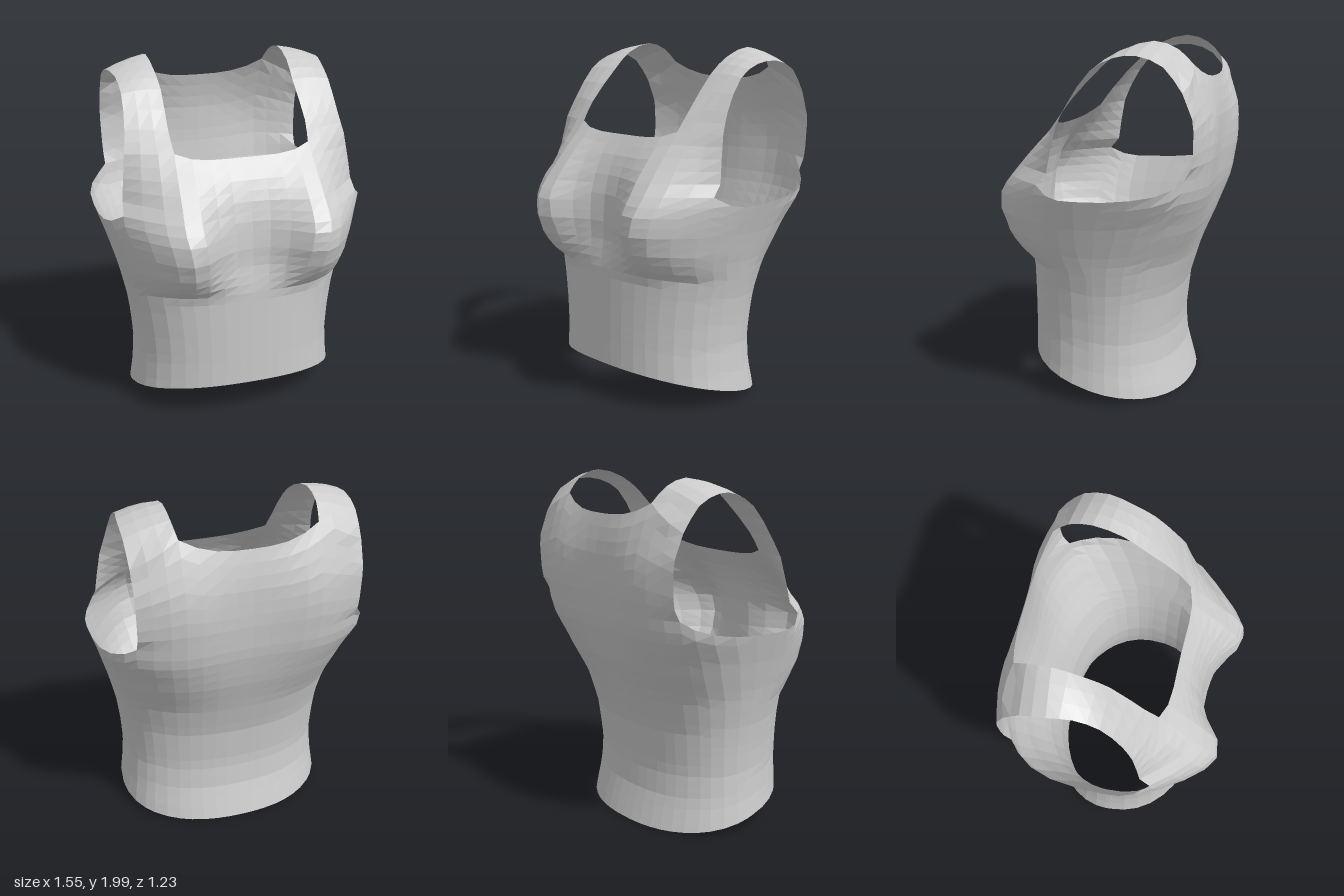
import * as THREE from 'three';

const material = new THREE.MeshStandardMaterial({ color: 0xcccccc, flatShading: true, side: THREE.DoubleSide });
const lerp = THREE.MathUtils.lerp;

// Linear lookup in a short list of [height, value] pairs
function at(table, y) {
  if (y <= table[0][0]) return table[0][1];
  for (let i = 1; i < table.length; i++) {
    const [y0, v0] = table[i - 1], [y1, v1] = table[i];
    if (y <= y1) return lerp(v0, v1, (y - y0) / (y1 - y0));
  }
  return table[table.length - 1][1];
}

// Body measurements by height
const halfWidth = [[0, .625], [.06, .62], [.2, .6], [.35, .59], [.5, .6], [.65, .62], [.85, .665], [1.02, .715], [1.2, .775]];
const frontZ = [[0, .48], [.8, .475], [.95, .45], [1.05, .45], [1.2, .435], [1.3, .41], [1.4, .37], [1.52, .29], [1.6, .25]];
const backZ = [[0, -.44], [.1, -.41], [.2, -.38], [.36, -.365], [.6, -.39], [.8, -.45], [1, -.52], [1.2, -.57],
  [1.4, -.59], [1.6, -.59], [1.7, -.575], [1.8, -.55], [1.9, -.49]];
const backPower = [[0, 2.2], [.8, 2.4], [1.05, 3], [1.2, 3.8], [1.3, 4]];
const bustDepth = [[.77, 0], [.83, .08], [.92, .165], [1.05, .21], [1.15, .205], [1.25, .15], [1.4, .07], [1.53, .02], [1.6, 0]];
const bladeDepth = [[.8, 0], [1.1, .02], [1.5, .035], [1.8, 0]];

// Armhole edges of the upper panels by height
const frontEdgeX = [[1.25, .68], [1.4, .665], [1.56, .645]];
const frontEdgeZ = [[1.25, .235], [1.45, .2], [1.56, .175]];
const backEdgeX = [[1.3, .62], [1.75, .635]];
const backEdgeZ = [[1.3, -.53], [1.4, -.555], [1.6, -.56], [1.75, -.5]];

const hump = (x, mid, inner, outer) => Math.exp(-(((x - mid) / (x < mid ? inner : outer)) ** 2));
const bust = (x, y) => at(bustDepth, y) * hump(x, .38, .18, .26);
const blade = (x, y) => at(bladeDepth, y) * hump(x, .36, .2, .2);

const MID = .02, FRONT_S = .88, BACK_S = .8;

// Point on the torso: s is the share of the half width
function torso(front, s, y) {
  const x = at(halfWidth, y) * s;
  const n = front ? 2.3 : at(backPower, y);
  const q = Math.pow(Math.max(0, 1 - s ** n), 1 / n);
  const z = front ? MID + (at(frontZ, y) - MID) * q + bust(x, y)
    : MID + (at(backZ, y) - MID) * q - blade(x, y);
  return new THREE.Vector3(x, y, z);
}

// Points on the upper panels: f runs from the centre line to the armhole
function chest(f, y) {
  const x = f * at(frontEdgeX, y), edge = at(frontEdgeZ, y);
  const z = lerp(edge, at(frontZ, y), 1 - f ** 3) + bust(x, y) * (1 - f ** 6);
  return new THREE.Vector3(x, y, z);
}
function upperBack(f, y) {
  const x = f * at(backEdgeX, y), edge = at(backEdgeZ, y);
  const z = lerp(edge, at(backZ, y), 1 - f ** 4) - blade(x, y) * (1 - f ** 6);
  return new THREE.Vector3(x, y, z);
}

// Surface through rows of points
function sheet(rows) {
  const n = rows[0].length, index = [];
  for (let r = 0; r < rows.length - 1; r++) {
    for (let c = 0; c < n - 1; c++) {
      const a = r * n + c, b = a + 1, d = a + n, e = d + 1;
      index.push(a, b, e, a, e, d);
    }
  }
  const geometry = new THREE.BufferGeometry().setFromPoints(rows.flat());
  geometry.setIndex(index);
  const flat = geometry.toNonIndexed();
  flat.computeVertexNormals();
  return flat;
}

const mirrorRow = row => row.map(p => new THREE.Vector3(-p.x, p.y, p.z)).reverse();
const steps = (n, fn) => Array.from({ length: n + 1 }, (_, i) => fn(i / n));

export function createModel() {
  const group = new THREE.Group();
  const addPair = (name, rows) => {
    for (const [side, r] of [['left', rows], ['right', rows.map(mirrorRow)]]) {
      const mesh = new THREE.Mesh(sheet(r), material);
      mesh.name = side + name;
      group.add(mesh);
    }
  };

  const INNER = 4; // column of the strap's inner edge
  const fractions = [0, .15, .3, .46, .6, .73, .87, 1];

  // Columns from centre front, round the side, to centre back, with their top height
  const columns = [
    ...fractions.map(f => [true, f * FRONT_S, 1.25]),
    [true, .95, 1.205], [true, .988, 1.19], [true, 1, 1.19],
    [false, .999, 1.195], [false, .985, 1.21], [false, .94, 1.23], [false, .87, 1.26],
    ...[...fractions].reverse().map(f => [false, f * BACK_S, 1.3]),
  ];

  // Body from the slanting hem up to the armholes
  const body = steps(20, v => columns.map(([front, s, top]) => {
    const z = torso(front, s, .12).z;
    const hem = .01 + .21 * Math.pow(Math.max(0, (z + .4) / .88), 1.3);
    return torso(front, s, lerp(hem, top, v));
  }));
  addPair('Body', body);
  const topRow = body[body.length - 1];

  // Front panel up to the square neckline
  const frontTop = f => 1.52 + .045 * Math.min(1, f / .6) ** 4;
  const frontRows = steps(5, v => fractions.map((f, i) =>
    v === 0 ? topRow[i] : chest(f, lerp(1.25, frontTop(f), v))));
  addPair('FrontPanel', frontRows);

  // Back panel up to the curved neckline
  const backTop = f => f <= .6 ? 1.8 + .08 * (f / .6) ** 3 : lerp(1.88, 1.75, (f - .6) / .4);
  const backFractions = [...fractions].reverse();
  const offset = columns.length - fractions.length;
  const backRows = steps(7, v => backFractions.map((f, i) =>
    v === 0 ? topRow[offset + i] : upperBack(f, lerp(1.3, backTop(f), v))));
  addPair('BackPanel', backRows);

  // Shoulder straps between the inner and outer edge curves
  const start = frontRows[frontRows.length - 1].slice(INNER);
  const end = [...backRows[backRows.length - 1]].reverse().slice(INNER);
  const edge = (a, points, b) => new THREE.CatmullRomCurve3(
    [a, ...points.map(p => new THREE.Vector3(...p)), b]);
  const last = start.length - 1;
  const inner = edge(start[0], [[.397, 1.67, .18], [.388, 1.86, 0], [.397, 1.95, -.12], [.4, 2, -.29], [.397, 1.96, -.42]], end[0]);
  const outer = edge(start[last], [[.625, 1.68, .12], [.61, 1.85, 0], [.615, 1.92, -.13], [.637, 1.933, -.26], [.64, 1.88, -.4]], end[last]);
  const strap = steps(12, v => start.map((p, i) => {
    if (v === 0) return p;
    if (v === 1) return end[i];
    const t = i / last;
    const point = inner.getPoint(v).lerp(outer.getPoint(v), t);
    point.y += .012 * Math.sin(Math.PI * t) * Math.sin(Math.PI * v);
    return point;
  }));
  addPair('Strap', strap);

  return group;
}
